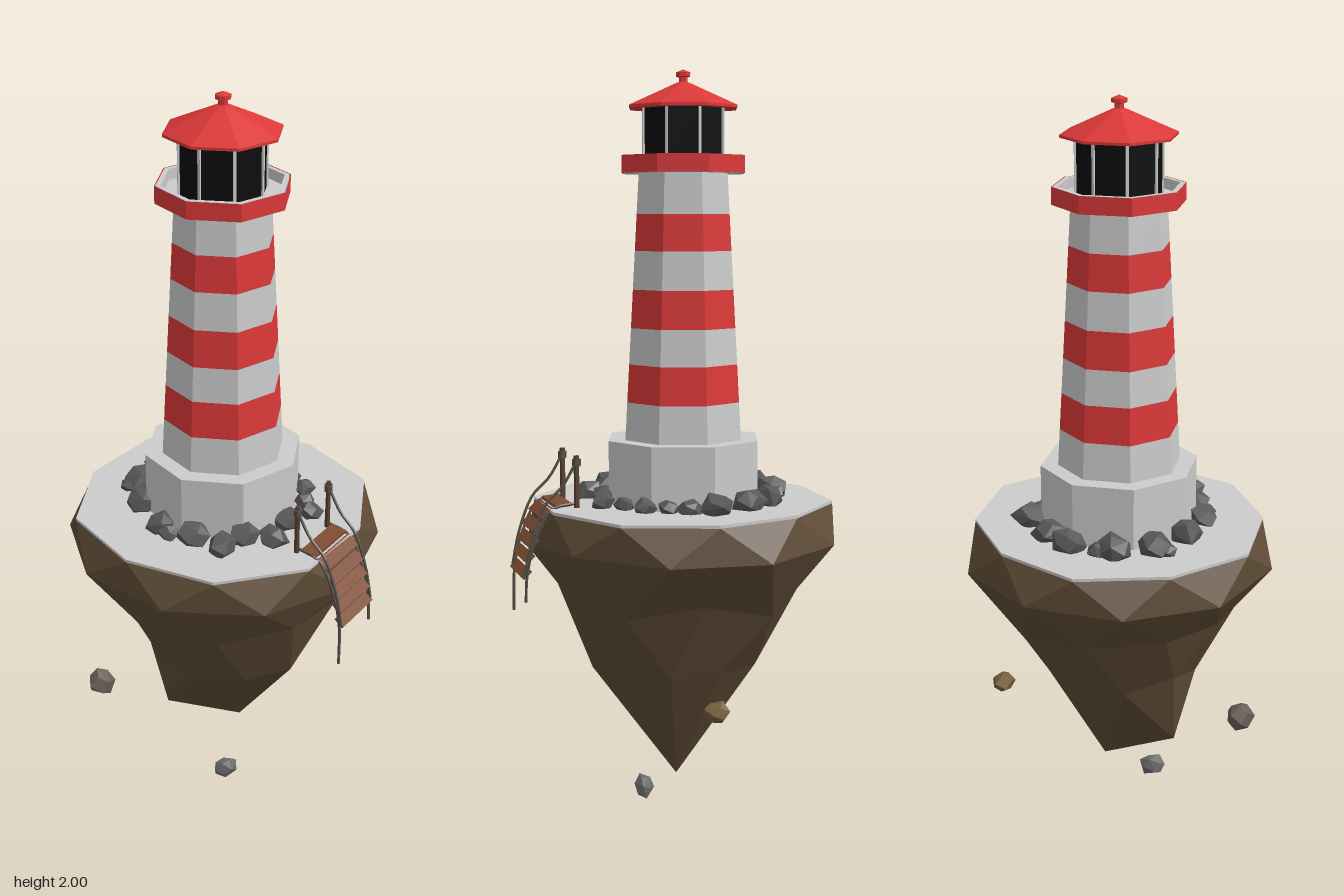
import * as THREE from 'three';
import { ConvexGeometry } from 'three/addons/geometries/ConvexGeometry.js';

const mat = (color) => new THREE.MeshStandardMaterial({ color, flatShading: true, side: THREE.DoubleSide });
const WHITE = mat(0xcccccc), RED = mat(0xdc3838), BLACK = mat(0x0c0c0c), EARTH = mat(0x5e4b36);
const STONE = mat(0x585858), WOOD = mat(0x7d4b30), POST = mat(0x5a4030), ROPE = mat(0x55504a);

let seed = 7;
const rnd = () => (seed = (seed * 16807) % 2147483647) / 2147483647;

function add(parent, name, geometry, material, x = 0, y = 0, z = 0) {
  const m = new THREE.Mesh(geometry, material);
  m.name = name;
  m.position.set(x, y, z);
  parent.add(m);
  return m;
}

// eight-sided drum between two heights
const drum = (g, name, r0, r1, y0, y1, material, open = false) =>
  add(g, name, new THREE.CylinderGeometry(r1, r0, y1 - y0, 8, 1, open), material, 0, (y0 + y1) / 2, 0);

// chunky faceted stone with half extents sx, sy, sz
function stone(g, name, x, y, z, sx, sy, sz, material) {
  const pts = [];
  const n = 14, turn = rnd() * 6;
  for (let i = 0; i < n; i++) {
    const h = 1 - (2 * (i + 0.5)) / n, r = Math.sqrt(1 - h * h), a = i * 2.4 + turn;
    const k = 0.85 + rnd() * 0.3;
    pts.push(new THREE.Vector3(Math.sin(a) * r * sx * k, h * sy * k, Math.cos(a) * r * sz * k));
  }
  const m = add(g, name, new ConvexGeometry(pts), material, x, y, z);
  m.rotation.set(0, rnd() * 0.6, (rnd() - 0.5) * 0.5);
}

const STEP = Math.PI / 5, START = Math.PI / 10;
const rimRadius = (j) => [0.405, 0.39, 0.405, 0.39, 0.38, 0.40, 0.39, 0.405, 0.39, 0.405][j];

function island(g) {
  // staggered ten-sided rings running down to a two-pointed tip
  const tipA = [0.05, 0.12, 0], tipB = [-0.17, 0.23, 0.025];
  const rings = [
    (a, j) => [Math.sin(a) * rimRadius(j), 0.865, Math.cos(a) * rimRadius(j)],
    (a) => [Math.sin(a) * 0.425, 0.775 + (rnd() - 0.5) * 0.015, Math.cos(a) * 0.425],
    (a) => {
      const r = 0.32 + (rnd() - 0.5) * 0.04;
      return [Math.sin(a) * r, 0.63 + (rnd() - 0.5) * 0.07, Math.cos(a) * r + 0.02];
    },
    (a) => {
      const r = 0.225 + (rnd() - 0.5) * 0.03;
      return [Math.sin(a) * r, 0.45 + (rnd() - 0.5) * 0.07, Math.cos(a) * r + 0.015];
    },
    (a) => (Math.sin(a) < -0.4 ? tipB : tipA),
  ];
  const pos = [], idx = [];
  rings.forEach((ring, r) => {
    for (let j = 0; j < 10; j++) pos.push(...ring(START + (j + r / 2) * STEP, j));
  });
  for (let r = 0; r < rings.length - 1; r++)
    for (let j = 0; j < 10; j++) {
      const k = (j + 1) % 10, u = r * 10, l = u + 10;
      idx.push(u + j, l + j, u + k, l + j, l + k, u + k);
    }
  const geo = new THREE.BufferGeometry();
  geo.setAttribute('position', new THREE.Float32BufferAttribute(pos, 3));
  geo.setIndex(idx);
  geo.computeVertexNormals();
  add(g, 'islandRock', geo, EARTH);

  // flat ground slab on the rock
  const pts = [];
  for (let j = 0; j < 10; j++) {
    const a = START + j * STEP;
    pts.push(new THREE.Vector2(Math.sin(a) * rimRadius(j), -Math.cos(a) * rimRadius(j)));
  }
  const slab = new THREE.ExtrudeGeometry(new THREE.Shape(pts), { depth: 0.01, bevelEnabled: false });
  add(g, 'ground', slab.rotateX(-Math.PI / 2), WHITE, 0, 0.863, 0);
}

function tower(g) {
  drum(g, 'foundation', 0.212, 0.212, 0.865, 1.04, WHITE);
  // tapering shaft in alternating bands
  const levels = [1.04, 1.14, 1.24, 1.335, 1.435, 1.535, 1.63, 1.74];
  const radius = (y) => 0.165 - ((y - 1.04) / 0.7) * 0.041;
  for (let i = 0; i < 7; i++)
    drum(g, i % 2 ? 'redBand' : 'whiteBand', radius(levels[i]), radius(levels[i + 1]),
      levels[i], levels[i + 1], i % 2 ? RED : WHITE);

  // gallery tray with a red outer face
  const tray = [[0, 1.735], [0.169, 1.735], [0.169, 1.78], [0.156, 1.78], [0.156, 1.752], [0, 1.752]];
  add(g, 'gallery', new THREE.LatheGeometry(tray.map((p) => new THREE.Vector2(...p)), 8), WHITE);
  drum(g, 'galleryBand', 0.172, 0.172, 1.735, 1.78, RED, true);

  // lantern room
  drum(g, 'lanternGlass', 0.11, 0.11, 1.752, 1.903, BLACK);
  for (let i = 0; i < 8; i++) {
    const a = (i * Math.PI) / 4;
    const bar = add(g, 'lanternBar', new THREE.BoxGeometry(0.007, 0.15, 0.007), WHITE,
      Math.sin(a) * 0.11, 1.828, Math.cos(a) * 0.11);
    bar.rotation.y = a;
  }

  // roof and finial
  const roof = [[0, 1.9], [0.15, 1.9], [0.15, 1.907], [0.02, 1.965], [0.012, 1.968], [0.012, 1.98],
    [0.02, 1.982], [0.02, 1.992], [0, 2]];
  add(g, 'roof', new THREE.LatheGeometry(roof.map((p) => new THREE.Vector2(...p)), 8), RED);
}

function boulders(g) {
  // x, z, size around the foundation
  const spots = [
    [-0.13, -0.205, 0.05], [-0.2, -0.13, 0.048], [-0.01, -0.24, 0.048], [0.075, -0.215, 0.05],
    [0.18, -0.165, 0.046], [0.195, -0.1, 0.034], [0.205, -0.045, 0.03], [0.225, 0.015, 0.032],
    [0.205, 0.08, 0.03], [0.205, 0.145, 0.034], [0.13, 0.17, 0.042], [0.07, 0.245, 0.043],
    [0, 0.215, 0.042], [-0.065, 0.25, 0.042], [-0.125, 0.185, 0.046], [-0.2, 0.11, 0.042],
    [-0.22, -0.015, 0.048], [-0.185, 0.15, 0.03], [-0.235, -0.12, 0.026], [-0.09, -0.225, 0.032],
  ];
  for (const [x, z, s] of spots) stone(g, 'boulder', x, 0.87 + s * 0.45, z, s, s * 0.8, s * 0.95, STONE);
}

function ropeLadder(g) {
  const ladder = new THREE.Group();
  ladder.name = 'ropeLadder';
  ladder.rotation.y = 0.711;
  g.add(ladder);
  const cx = -0.033, half = 0.075;

  // planks: distance out, height, depth, tilt
  const planks = [[0.342, 0.88, 0.044, 0.1], [0.384, 0.86, 0.04, 0.7], [0.407, 0.822, 0.034, 0.75],
    [0.421, 0.783, 0.032, 0.75], [0.432, 0.744, 0.03, 0.75], [0.441, 0.703, 0.03, 0.75]];
  for (const [z, y, d, tilt] of planks)
    add(ladder, 'plank', new THREE.BoxGeometry(0.15, 0.008, d), WOOD, cx, y, z).rotation.x = tilt;

  const rope = (name, pts) => add(ladder, name, new THREE.TubeGeometry(
    new THREE.CatmullRomCurve3(pts.map((p) => new THREE.Vector3(...p))), 16, 0.004, 5), ROPE);
  for (const side of [-1, 1]) {
    const x = cx + side * half;
    add(ladder, 'post', new THREE.CylinderGeometry(0.007, 0.008, 0.15, 6), POST, x, 0.935, 0.306);
    add(ladder, 'postLashing', new THREE.CylinderGeometry(0.012, 0.012, 0.018, 6), ROPE, x, 0.992, 0.306);
    // handrail sagging from the post, then side rope with a loose end
    rope('handRope', [[x, 0.995, 0.306], [x, 0.93, 0.345], [x, 0.885, 0.39], [x, 0.79, 0.428], [x, 0.7, 0.447]]);
    rope('sideRope', [[x, 0.885, 0.31], [x, 0.87, 0.375], [x, 0.785, 0.42], [x, 0.7, 0.441],
      [x, side < 0 ? 0.575 : 0.63, 0.445]]);
  }
}

export function createModel() {
  const g = new THREE.Group();
  g.name = 'lighthouseIsland';
  island(g);
  tower(g);
  boulders(g);
  ropeLadder(g);
  // loose stones floating under the island
  stone(g, 'floatingStone', -0.367, 0.36, 0.05, 0.038, 0.043, 0.038, mat(0x6a5f58));
  stone(g, 'floatingStone', 0.26, 0.377, -0.2, 0.035, 0.03, 0.037, mat(0x75603e));
  stone(g, 'floatingStone', -0.03, 0.038, 0.13, 0.038, 0.034, 0.026, mat(0x6c6c6c));
  return g;
}
